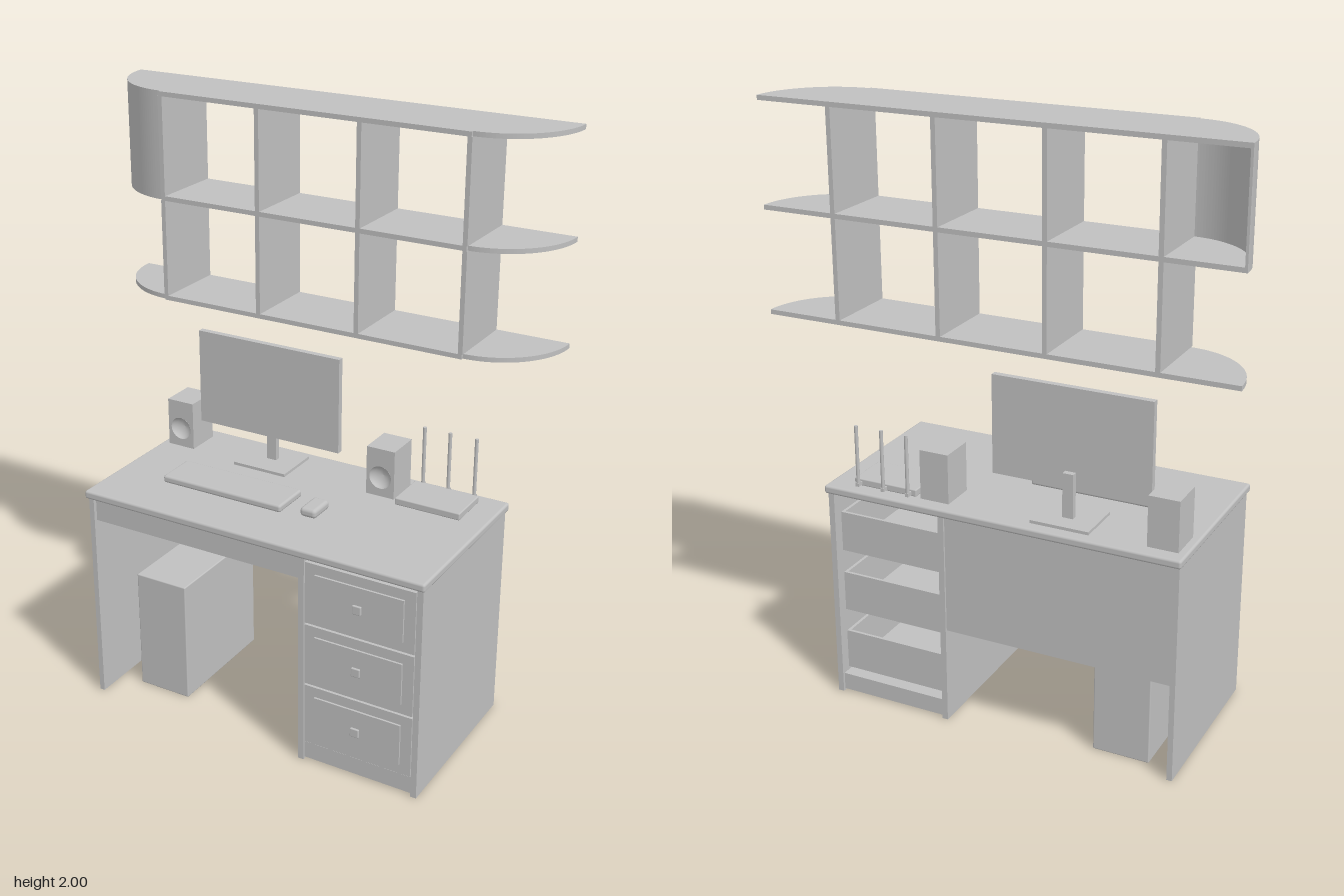
import * as THREE from 'three';
import { RoundedBoxGeometry } from 'three/addons/geometries/RoundedBoxGeometry.js';

export function createModel() {
  const model = new THREE.Group();
  const grey = new THREE.MeshStandardMaterial({ color: 0xc0c0c0 });
  grey.name = 'lightGrey';

  const group = (name) => {
    const g = new THREE.Group();
    g.name = name;
    model.add(g);
    return g;
  };
  const add = (parent, name, geometry) => {
    const mesh = new THREE.Mesh(geometry, grey);
    mesh.name = name;
    parent.add(mesh);
    return mesh;
  };
  // Box given by its limits on each axis; a radius rounds its edges
  const box = (parent, name, [x0, x1], [y0, y1], [z0, z1], radius = 0) => {
    const size = [x1 - x0, y1 - y0, z1 - z0];
    const geometry = radius ? new RoundedBoxGeometry(...size, 3, radius) : new THREE.BoxGeometry(...size);
    const mesh = add(parent, name, geometry);
    mesh.position.set((x0 + x1) / 2, (y0 + y1) / 2, (z0 + z1) / 2);
    return mesh;
  };

  // Desk carcass
  const desk = group('desk');
  const bodyZ = [-0.297, 0.297];
  box(desk, 'desktop', [-0.613, 0.613], [0.735, 0.763], [-0.309, 0.309], 0.008);
  box(desk, 'leftEndPanel', [-0.605, -0.587], [0, 0.735], bodyZ);
  box(desk, 'rightEndPanel', [0.585, 0.605], [0, 0.735], bodyZ);
  box(desk, 'innerPanel', [0.183, 0.203], [0, 0.735], bodyZ);
  box(desk, 'backPanel', [-0.587, 0.183], [0.33, 0.735], [-0.29, -0.274]);
  box(desk, 'apron', [-0.587, 0.183], [0.652, 0.735], [0.268, 0.284]);
  box(desk, 'plinth', [0.203, 0.585], [0.006, 0.065], [-0.288, 0.288]);

  // Three drawers: open tray, front, raised panel and square knob
  for (let i = 0; i < 3; i++) {
    const drawer = group('drawer');
    const y = 0.072 + i * 0.219;
    const trayY = [y + 0.02, y + 0.15];
    const trayZ = [-0.27, 0.278];
    box(drawer, 'drawerFront', [0.206, 0.582], [y, y + 0.212], [0.278, 0.296]);
    box(drawer, 'raisedPanel', [0.243, 0.545], [y + 0.034, y + 0.178], [0.296, 0.303]);
    box(drawer, 'knobStem', [0.387, 0.401], [y + 0.099, y + 0.113], [0.303, 0.308]);
    box(drawer, 'knob', [0.379, 0.409], [y + 0.091, y + 0.121], [0.307, 0.316], 0.003);
    box(drawer, 'trayFloor', [0.21, 0.578], [y + 0.012, y + 0.02], trayZ);
    box(drawer, 'trayBack', [0.21, 0.578], trayY, [-0.27, -0.26]);
    box(drawer, 'traySide', [0.21, 0.22], trayY, trayZ);
    box(drawer, 'traySide', [0.568, 0.578], trayY, trayZ);
  }

  // Wall shelf: three boards with quarter-round ends
  const shelf = group('wallShelf');
  const back = -0.315, front = -0.065, endX = 0.53, board = 0.015, radius = 0.241;
  const quarter = new THREE.Shape();
  quarter.moveTo(0, 0);
  quarter.lineTo(radius, 0);
  quarter.absarc(0, 0, radius, 0, Math.PI / 2, false);
  quarter.closePath();
  const endGeometry = new THREE.ExtrudeGeometry(quarter, { depth: board, bevelEnabled: false, curveSegments: 20 });
  endGeometry.rotateX(Math.PI / 2);
  for (const top of [1.335, 1.668, 2]) {
    box(shelf, 'shelfBoard', [-endX, endX], [top - board, top], [back, front]);
    add(shelf, 'rightShelfEnd', endGeometry).position.set(endX, top, back);
    const left = add(shelf, 'leftShelfEnd', endGeometry.clone().rotateY(-Math.PI / 2));
    left.position.set(-endX, top, back);
  }
  for (const x of [-0.525, -0.175, 0.175, 0.525]) {
    for (const [y0, y1] of [[1.335, 1.653], [1.668, 1.985]]) {
      box(shelf, 'shelfDivider', [x - 0.0075, x + 0.0075], [y0, y1], [back, front]);
    }
  }

  // Curved wall closing the upper left end
  const arc = new THREE.Shape();
  arc.absarc(0, 0, radius, Math.PI / 2, Math.PI, false);
  arc.lineTo(-radius + 0.008, 0);
  arc.absarc(0, 0, radius - 0.008, Math.PI, Math.PI / 2, true);
  arc.closePath();
  const wallGeometry = new THREE.ExtrudeGeometry(arc, { depth: 0.317, bevelEnabled: false, curveSegments: 20 });
  wallGeometry.rotateX(Math.PI / 2);
  add(shelf, 'curvedEndWall', wallGeometry).position.set(-endX, 1.985, back);

  // Monitor on a post and a flat foot
  const monitor = group('monitor');
  box(monitor, 'screen', [-0.468, 0.065], [0.865, 1.192], [-0.186, -0.165]);
  box(monitor, 'post', [-0.22, -0.184], [0.77, 0.92], [-0.206, -0.186]);
  box(monitor, 'foot', [-0.3, -0.104], [0.763, 0.773], [-0.268, -0.105]);

  // Keyboard and mouse
  box(group('keyboard'), 'keyboardBody', [-0.427, 0.018], [0.763, 0.788], [-0.012, 0.128], 0.008);
  box(group('mouse'), 'mouseBody', [0.08, 0.137], [0.763, 0.794], [0.018, 0.113], 0.012);

  // Speakers with a dished round cone
  const dish = new THREE.Path();
  dish.absarc(0, -0.017, 0.039, 0, Math.PI * 2, true);
  const face = new THREE.Shape();
  face.moveTo(-0.05, -0.083);
  face.lineTo(0.05, -0.083);
  face.lineTo(0.05, 0.083);
  face.lineTo(-0.05, 0.083);
  face.closePath();
  face.holes.push(dish);
  const faceGeometry = new THREE.ExtrudeGeometry(face, { depth: 0.025, bevelEnabled: false, curveSegments: 20 });
  const bowl = [[0, 0], [0.015, 0.002], [0.028, 0.009], [0.036, 0.017], [0.039, 0.025]];
  const bowlGeometry = new THREE.LatheGeometry(bowl.map(([r, h]) => new THREE.Vector2(r, h)), 32);
  bowlGeometry.rotateX(Math.PI / 2);
  for (const x of [-0.536, 0.233]) {
    const speaker = group('speaker');
    box(speaker, 'speakerCase', [x - 0.05, x + 0.05], [0.763, 0.929], [-0.26, -0.165]);
    add(speaker, 'speakerFace', faceGeometry).position.set(x, 0.846, -0.165);
    const cone = add(speaker, 'speakerCone', bowlGeometry);
    cone.position.set(x, 0.829, -0.1645);
  }
  grey.side = THREE.DoubleSide;

  // Router with three antennas along its back
  const router = group('router');
  box(router, 'routerBody', [0.301, 0.528], [0.763, 0.787], [-0.258, -0.11], 0.004);
  for (const x of [0.323, 0.413, 0.505]) {
    box(router, 'antennaHinge', [x - 0.006, x + 0.006], [0.768, 0.78], [-0.28, -0.256]);
    const antenna = add(router, 'antenna', new THREE.CylinderGeometry(0.006, 0.006, 0.203, 12));
    antenna.position.set(x, 0.874, -0.272);
  }

  // Computer tower under the desk
  box(group('computerTower'), 'towerCase', [-0.505, -0.313], [0, 0.427], [-0.24, 0.19], 0.004);

  return model;
}
